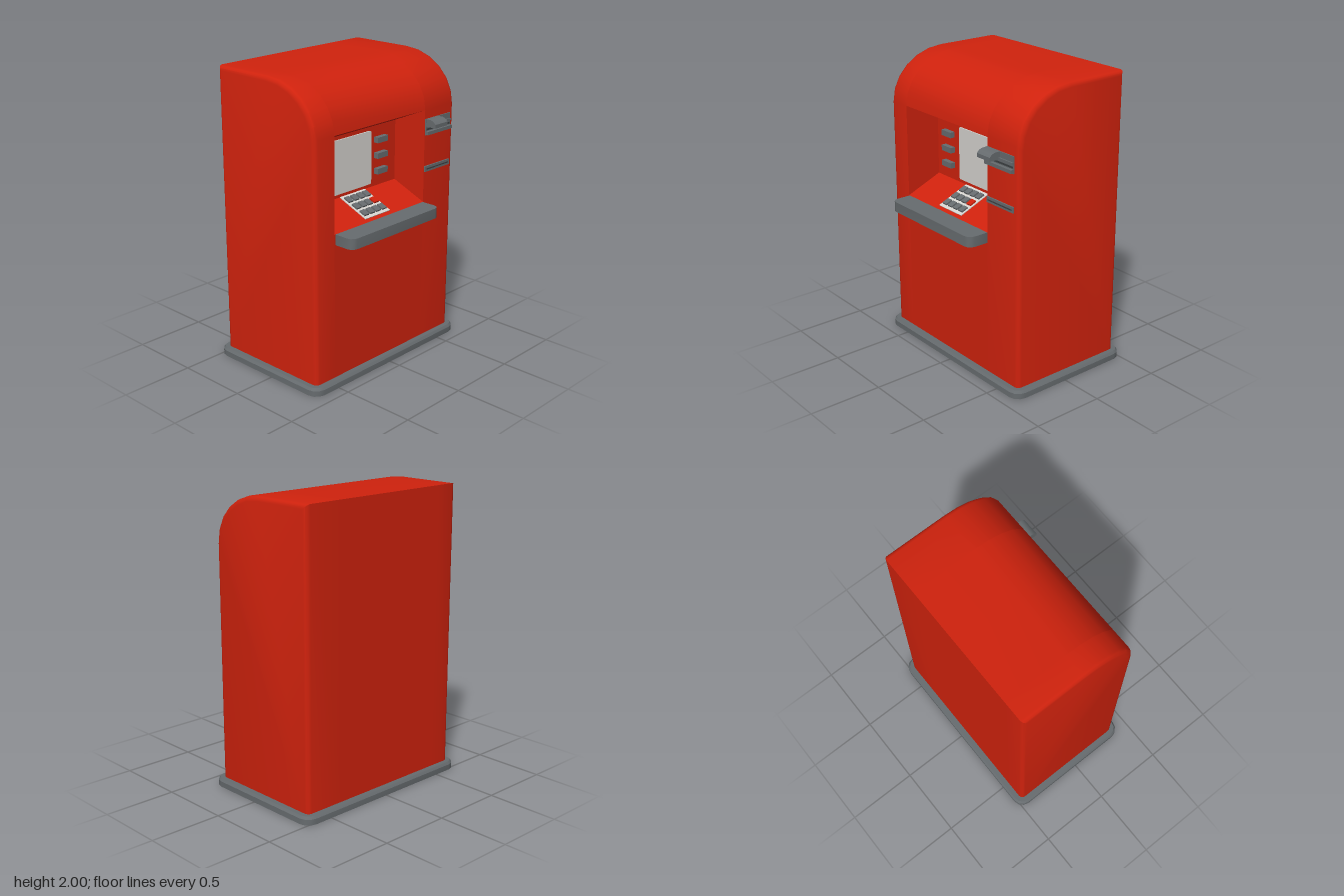
import * as THREE from 'three';
import { toCreasedNormals } from 'three/addons/utils/BufferGeometryUtils.js';

const mat = (name, color) => Object.assign(new THREE.MeshStandardMaterial({ color }), { name });

// Joins equal-length rings of points into a skin, with optional flat ends.
function loft(rings, caps = true) {
  const pos = [];
  const tri = (...pts) => pts.forEach((p) => pos.push(...p));
  const n = rings[0].length;
  for (let k = 0; k < rings.length - 1; k++) {
    const a = rings[k], b = rings[k + 1];
    for (let i = 0; i < n; i++) {
      const j = (i + 1) % n;
      tri(a[i], a[j], b[j]);
      tri(a[i], b[j], b[i]);
    }
  }
  if (caps) {
    const s = rings[0], e = rings[rings.length - 1];
    for (let i = 1; i < n - 1; i++) {
      tri(s[0], s[i + 1], s[i]);
      tri(e[0], e[i], e[i + 1]);
    }
  }
  const g = new THREE.BufferGeometry();
  g.setAttribute('position', new THREE.Float32BufferAttribute(pos, 3));
  return toCreasedNormals(g, 0.6);
}

// Horizontal rounded rectangle at height y; back corners may be square.
function roundedRing(x0, x1, z0, z1, y, r, rBack = r) {
  const ring = [];
  const corner = (x, z, rad, start) => {
    for (let i = 0; i <= 3; i++) {
      const a = start + (i / 3) * Math.PI / 2;
      ring.push([x + rad * Math.sin(a), y, z + rad * Math.cos(a)]);
    }
  };
  corner(x1 - r, z1 - r, r, 0);
  corner(x1 - rBack, z0 + rBack, rBack, Math.PI / 2);
  corner(x0 + rBack, z0 + rBack, rBack, Math.PI);
  corner(x0 + r, z1 - r, r, Math.PI * 1.5);
  return ring;
}

export function createModel() {
  const model = new THREE.Group();
  const red = mat('red paint', 0xd0220d);
  const grey = mat('grey trim', 0x676c6f);
  const dark = mat('dark slot', 0x3c4143);
  const pale = mat('pale panel', 0xd6d4d0);

  const add = (name, geometry, material, parent = model) => {
    const m = new THREE.Mesh(geometry, material);
    m.name = name;
    parent.add(m);
    return m;
  };
  const box = (name, material, x0, x1, y0, y1, z0, z1, parent = model) => {
    const m = add(name, new THREE.BoxGeometry(x1 - x0, y1 - y0, z1 - z0), material, parent);
    m.position.set((x0 + x1) / 2, (y0 + y1) / 2, (z0 + z1) / 2);
    return m;
  };

  // Plinth
  add('plinth', loft([
    roundedRing(-0.705, 0.705, -0.52, 0.42, 0, 0.075),
    roundedRing(-0.705, 0.705, -0.52, 0.42, 0.038, 0.075),
    roundedRing(-0.693, 0.693, -0.508, 0.408, 0.055, 0.065),
  ]), grey);

  // Side outline of the cabinet as [y, z]
  const back = -0.475, front = 0.375, wall = 0.12;
  const outline = [[0.05, back], [2, back]];
  for (let i = 0; i <= 6; i++) {
    const a = (i / 6) * Math.PI / 2;
    outline.push([1.67 + 0.33 * Math.cos(a), -0.03 + 0.405 * Math.sin(a)]);
  }
  outline.push([0.05, front]);

  // Cabinet ends, with rounded outer edges
  const section = (x, inset = 0) => outline.map(([y, z]) => [
    x,
    0.05 + (y - 0.05) * (1 - inset / 1.95),
    -0.05 + (z + 0.05) * (1 - inset / 0.425),
  ]);
  const R = 0.032;
  const edge = (side) => [0, 1, 2, 3].map((i) => {
    const a = (i / 3) * Math.PI / 2;
    return section(side * (0.66 - R + R * Math.sin(a)), R * (1 - Math.cos(a)));
  });
  add('leftCabinetEnd', loft([section(0.36), ...edge(1)]), red);
  add('rightCabinetEnd', loft([...edge(-1).reverse(), section(-0.49)]), red);

  // Cabinet middle with the recessed console
  const notched = [...outline.slice(0, -1), [1.56, wall], [1.145, wall], [1.04, front], [0.05, front]];
  add('cabinetMiddle', loft([-0.49, 0.36].map((x) => notched.map(([y, z]) => [x, y, z])), false), red);

  // Shelf below the console
  add('shelf', loft([0.97, 1.04].map((y) => roundedRing(-0.483, 0.357, 0.365, 0.52, y, 0.045, 0.001))), grey);

  // Screen with softened corners
  const s = new THREE.Shape(roundedRing(-0.245, 0.115, -1.535, -1.17, 0, 0.012)
    .map(([x, , z]) => new THREE.Vector2(x, -z)));
  add('screen', new THREE.ExtrudeGeometry(s, { depth: 0.009, bevelEnabled: false }), pale).position.z = wall;

  // Buttons beside the screen
  for (const x of [-0.355, 0.2]) {
    for (const y of [1.465, 1.358, 1.25]) {
      box('screenButton', grey, x - 0.05, x + 0.05, y - 0.019, y + 0.019, wall - 0.01, wall + 0.035);
    }
  }

  // Keypad lying on the sloped ledge
  const keypad = new THREE.Group();
  keypad.name = 'keypad';
  keypad.position.set(-0.0625, 1.0975, 0.2354);
  keypad.rotation.x = Math.atan2(0.105, 0.255);
  model.add(keypad);
  box('keypadPlate', pale, -0.118, 0.118, -0.004, 0.005, -0.122, 0.122, keypad);
  for (let row = 0; row < 3; row++) {
    for (let col = 0; col < 4; col++) {
      const x = -0.084 + col * 0.056, z = -0.074 + row * 0.074;
      box('key', col === 3 && row === 1 ? red : grey, x - 0.021, x + 0.021, 0, 0.016, z - 0.025, z + 0.025, keypad);
    }
  }

  // Card reader: back plate, hooded mouth, ribs and lower lip
  const reader = new THREE.Group();
  reader.name = 'cardReader';
  model.add(reader);
  box('readerPlate', grey, 0.362, 0.615, 1.5, 1.61, 0.365, 0.382, reader);
  const hood = [[1.56, 0.37], [1.61, 0.37], [1.61, 0.42], [1.602, 0.443], [1.585, 0.46], [1.56, 0.46]];
  add('readerHood', loft([0.365, 0.488].map((x) => hood.map(([y, z]) => [x, y, z]))), grey, reader);
  box('readerRib', grey, 0.488, 0.615, 1.56, 1.572, 0.375, 0.392, reader);
  box('readerLip', grey, 0.362, 0.615, 1.505, 1.528, 0.375, 0.402, reader);
  box('readerSlot', dark, 0.37, 0.61, 1.534, 1.546, 0.38, 0.384, reader);

  // Receipt outlet
  box('receiptOutlet', grey, 0.362, 0.615, 1.25, 1.288, 0.365, 0.385);
  box('receiptSlot', dark, 0.375, 0.602, 1.264, 1.272, 0.382, 0.387);

  return model;
}
